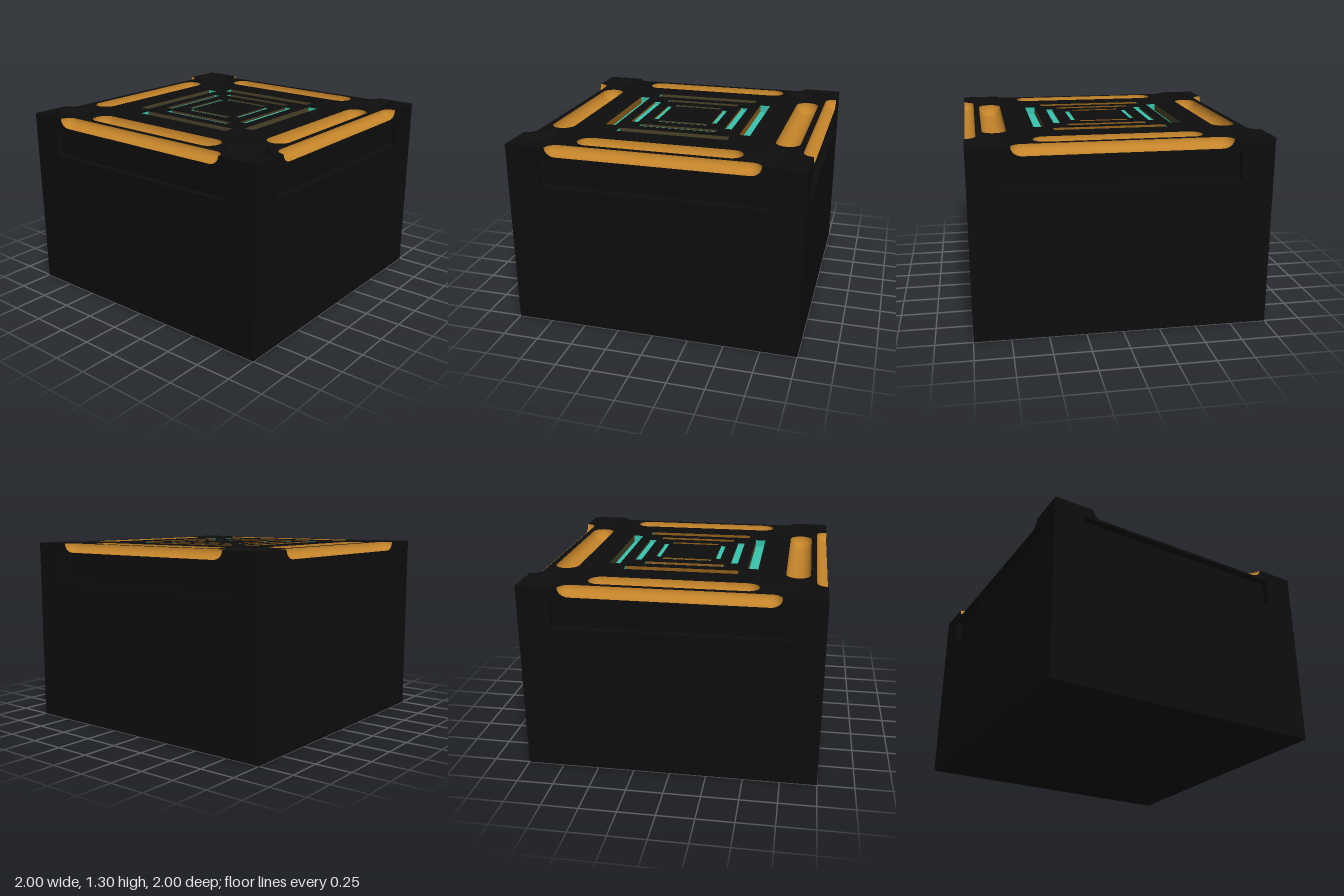
import * as THREE from 'three';

const H = 1.3;                              // block height
const NOTCH = { end: 0.72, r: 0.075, d: 0.062 }; // groove cut along each top edge
const GROOVE = { end: 0.565, r: 0.083, d: 0.08, z: 0.802 };
const GEM = { c: 0.8, r: 0.195, floor: 0.14, d: 0.04 };
const PANEL = { w: 1.56, y0: 1.02, y1: 1.22, d: 0.05 };
const SLOTS = [
  { name: 'outerSlot', half: 0.395, z0: 0.45, z1: 0.525, d: 0.05 },
  { name: 'middleSlot', half: 0.28, z0: 0.32, z1: 0.372, d: 0.015 },
  { name: 'innerSlot', half: 0.175, z0: 0.2, z1: 0.236, d: 0.01 },
];

const mat = (color, flatShading = false) =>
  new THREE.MeshStandardMaterial({ color, flatShading, side: THREE.DoubleSide });
const black = mat(0x0d0d0d), blackFlat = mat(0x0d0d0d, true);
const orange = mat(0xc4842a), teal = mat(0x36c4ae);
const olive = mat(0x4a4228), brown = mat(0x8f5f1a);

function add(parent, name, geometry, material) {
  const mesh = new THREE.Mesh(geometry, material);
  mesh.name = name;
  parent.add(mesh);
  return mesh;
}

// Outline points of a notch with rounded ends, from -x to +x, sinking by `depth` below `level`
function notchPoints(level, depth) {
  const { end, r } = NOTCH, pts = [], n = 8;
  for (let i = 0; i <= n; i++) {
    const a = (i / n) * Math.PI / 2;
    pts.push(new THREE.Vector2(-end + r - r * Math.cos(a), level - depth * Math.sin(a)));
  }
  return pts.concat(pts.map(p => new THREE.Vector2(-p.x, p.y)).reverse());
}

// Round-ended trough along x, hollow upwards; arc PI = full trough, PI/2 = inner half only
function troughGeometry({ end, r, d }, arc) {
  const pts = [], n = 8;
  for (let i = 0; i <= n; i++) {
    const a = (i / n) * Math.PI / 2;
    pts.push(new THREE.Vector2(r * Math.sin(a), -(end - r) - r * Math.cos(a)));
  }
  const all = pts.concat(pts.map(p => new THREE.Vector2(p.x, -p.y)).reverse());
  return new THREE.LatheGeometry(all, 16, Math.PI, arc).rotateZ(Math.PI / 2).scale(1, d / r, 1);
}

// Rectangular pocket opening towards +z: floor and four walls
function pocket(name, w, h, d, floorMat, endMat, lowMat, highMat) {
  const g = new THREE.Group();
  g.name = name;
  add(g, 'floor', new THREE.PlaneGeometry(w, h).translate(0, 0, -d), floorMat);
  add(g, 'lowWall', new THREE.PlaneGeometry(w, d).rotateX(-Math.PI / 2).translate(0, -h / 2, -d / 2), lowMat);
  add(g, 'highWall', new THREE.PlaneGeometry(w, d).rotateX(Math.PI / 2).translate(0, h / 2, -d / 2), highMat);
  for (const s of [-1, 1])
    add(g, 'endWall', new THREE.PlaneGeometry(d, h).rotateY(-s * Math.PI / 2).translate(s * w / 2, 0, -d / 2), endMat);
  return g;
}

const turn = (p, k) => p.clone().rotateAround(new THREE.Vector2(), k * Math.PI / 2);

// Top face with all openings cut out (shape y becomes -z)
function topGeometry() {
  const outline = [];
  const edge = [new THREE.Vector2(-1, 1), ...notchPoints(1, NOTCH.r)];
  for (let k = 0; k < 4; k++) outline.push(...edge.map(p => turn(p, -k)));
  const shape = new THREE.Shape(outline);
  const hole = (pts, k) => shape.holes.push(new THREE.Path(pts.map(p => turn(p, k))));
  const v = (x, y) => new THREE.Vector2(x, y);
  for (let k = 0; k < 4; k++) {
    const { end, r, z } = GROOVE, ring = [];
    for (let i = 0; i <= 32; i++) {
      const side = i <= 16 ? 1 : -1;
      const a = -Math.PI / 2 + (i / 16) * Math.PI;
      ring.push(v(side * (end - r) + r * Math.cos(a), z + r * Math.sin(a)));
    }
    hole(ring, k);
    for (const s of SLOTS)
      hole([v(-s.half, s.z0), v(s.half, s.z0), v(s.half, s.z1), v(-s.half, s.z1)], k);
    const { c, r: q } = GEM;
    hole([v(c + q, c), v(c, c + q), v(c - q, c), v(c, c - q)], k);
  }
  return new THREE.ShapeGeometry(shape).rotateX(-Math.PI / 2).translate(0, H, 0);
}

// Side face at z = 1 with the edge notch and the panel opening
function sideGeometry() {
  const v = (x, y) => new THREE.Vector2(x, y), w = PANEL.w / 2;
  const shape = new THREE.Shape([v(-1, 0), v(-1, H), ...notchPoints(H, NOTCH.d), v(1, H), v(1, 0)]);
  shape.holes.push(new THREE.Path([v(-w, PANEL.y0), v(w, PANEL.y0), v(w, PANEL.y1), v(-w, PANEL.y1)]));
  return new THREE.ShapeGeometry(shape).translate(0, 0, 1);
}

export function createModel() {
  const model = new THREE.Group();
  model.name = 'block';
  add(model, 'topFace', topGeometry(), black);
  add(model, 'bottomFace', new THREE.PlaneGeometry(2, 2).rotateX(Math.PI / 2), black);

  for (let k = 0; k < 4; k++) {
    const quarter = new THREE.Group();
    quarter.name = ['frontSide', 'leftSide', 'backSide', 'rightSide'][k];
    quarter.rotation.y = k * Math.PI / 2;
    model.add(quarter);

    // Side wall and its sunken panel
    add(quarter, 'sideFace', sideGeometry(), black);
    const panel = pocket('sidePanel', PANEL.w, PANEL.y1 - PANEL.y0, PANEL.d, black, black, black, black);
    panel.position.set(0, (PANEL.y0 + PANEL.y1) / 2, 1);
    quarter.add(panel);

    // Coloured troughs: one on the edge, one on the top
    add(quarter, 'edgeTrough', troughGeometry(NOTCH, Math.PI / 2), orange).position.set(0, H, 1);
    add(quarter, 'topTrough', troughGeometry(GROOVE, Math.PI), orange).position.set(0, H, GROOVE.z);

    // Nested light slots
    for (const s of SLOTS) {
      const [inner, outer] = k < 2 ? [olive, brown] : [brown, olive];
      const slot = pocket(s.name, 2 * s.half, s.z1 - s.z0, s.d, teal, teal, outer, inner);
      slot.rotation.x = -Math.PI / 2;
      slot.position.set(0, H, (s.z0 + s.z1) / 2);
      quarter.add(slot);
    }

    // Bevelled diamond recess in the corner
    const profile = [[0, -GEM.d], [GEM.floor, -GEM.d], [GEM.r, 0]].map(p => new THREE.Vector2(...p));
    add(quarter, 'cornerRecess', new THREE.LatheGeometry(profile, 4), blackFlat).position.set(GEM.c, H, GEM.c);
  }
  return model;
}
